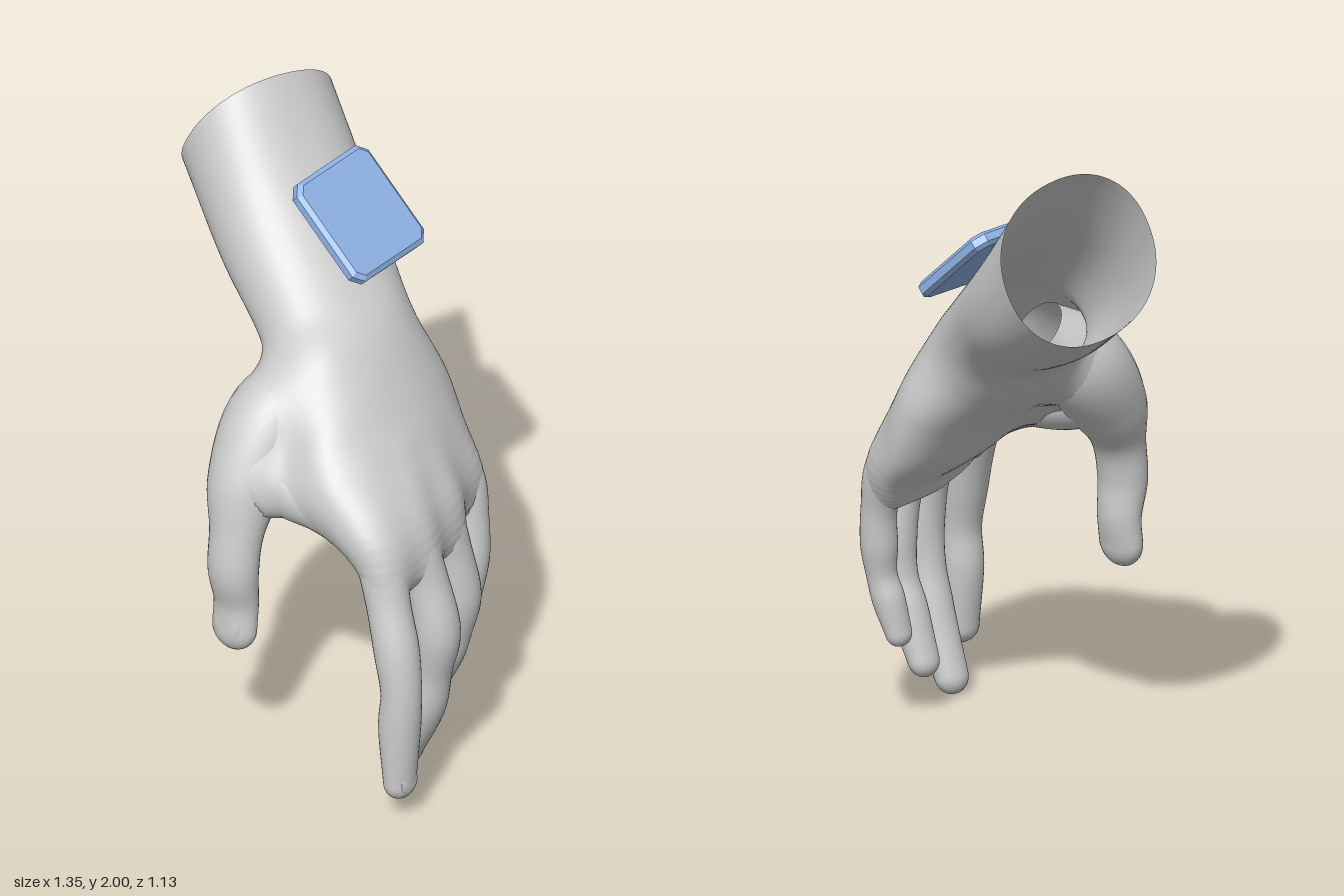
import * as THREE from 'three';

const V = (x, y, z) => new THREE.Vector3(x, y, z);
const skin = new THREE.MeshStandardMaterial({ color: 0xcccccc, side: THREE.DoubleSide });
const blue = new THREE.MeshStandardMaterial({ color: 0x8fb3e6 });

// Skin a list of rings, each given as a list of points
function loft(name, rings) {
  const sides = rings[0].length, idx = [];
  for (let i = 1; i < rings.length; i++) {
    for (let j = 0; j < sides; j++) {
      const k = (j + 1) % sides, r0 = (i - 1) * sides, r1 = i * sides;
      idx.push(r0 + j, r1 + j, r0 + k, r0 + k, r1 + j, r1 + k);
    }
  }
  const geo = new THREE.BufferGeometry().setFromPoints(rings.flat());
  geo.setIndex(idx);
  geo.computeVertexNormals();
  const mesh = new THREE.Mesh(geo, skin);
  mesh.name = name;
  return mesh;
}

// Closed ring around c with half-axes h and n; power below 1 makes it fuller
function ring(c, h, n, sides, power = 1) {
  const round = (v) => Math.sign(v) * Math.abs(v) ** power;
  return Array.from({ length: sides }, (_, j) => {
    const a = (j / sides) * Math.PI * 2;
    return c.clone().addScaledVector(h, round(Math.cos(a))).addScaledVector(n, round(Math.sin(a)));
  });
}

// Unit axes of a round section across direction t
function axes(t) {
  const h = V(0, 0, 1).addScaledVector(t, -t.z).normalize();
  return { h, n: h.clone().cross(t).normalize() };
}

// Centres, radii, flatness and directions along points [x, y, z, radius, flatness]
function sampleLimb(pts, steps = 40) {
  const path = new THREE.CatmullRomCurve3(pts.map((p) => V(p[0], p[1], p[2])));
  const size = new THREE.CatmullRomCurve3(pts.map((p, i) => V(p[3], i, p[4] ?? 1)), false, 'catmullrom');
  return Array.from({ length: steps + 1 }, (_, i) => {
    const t = i / steps, s = size.getPoint(t);
    return { c: path.getPoint(t), r: s.x, flat: s.z, dir: path.getTangent(t) };
  });
}

// Tapered limb with a round tip; it flattens towards its nail side
function limb(name, samples, nailSide, hasNail) {
  const section = (c, dir, r, flat) => {
    const { h, n } = axes(dir);
    return ring(c, h.multiplyScalar(nailSide === 'h' ? r * flat : r), n.multiplyScalar(nailSide === 'n' ? r * flat : r), 32);
  };
  const rings = samples.map(({ c, dir, r, flat }) => section(c, dir, r, flat));
  const { c, r, flat, dir } = samples[samples.length - 1];
  for (let k = 1; k <= 8; k++) {
    const a = (k / 8) * Math.PI / 2;
    rings.push(section(c.clone().addScaledVector(dir, r * Math.sin(a)), dir, r * Math.max(Math.cos(a), 0.001), flat));
  }
  const group = new THREE.Group();
  group.name = name;
  group.add(loft(name + 'Skin', rings));
  if (hasNail) {
    const up = axes(dir)[nailSide];
    const nail = new THREE.Mesh(new THREE.SphereGeometry(1, 20, 12), skin);
    nail.name = name + 'Nail';
    nail.scale.set(r * 0.65, r * 0.75, r * 0.18);
    nail.quaternion.setFromRotationMatrix(new THREE.Matrix4().makeBasis(dir.clone().cross(up), dir, up));
    nail.position.copy(c).addScaledVector(up, r * (flat - 0.17)).addScaledVector(dir, -r * 0.2);
    group.add(nail);
  }
  return group;
}

// Smooth minimum of two distances
function blend(a, b, k) {
  const m = Math.max(k - Math.abs(a - b), 0) / k;
  return Math.min(a, b) - m * m * k / 4;
}

export function createModel() {
  const model = new THREE.Group();
  model.name = 'hand';

  // Fingers run from inside the palm over the knuckles; the thumb has a fleshy base
  const limbs = {
    indexFinger: [[0.33, 1.08, 0.25, 0.055], [0.46, 0.92, 0.32, 0.08], [0.527, 0.74, 0.353, 0.07], [0.575, 0.60, 0.372, 0.072],
      [0.602, 0.46, 0.382, 0.065], [0.598, 0.33, 0.385, 0.067], [0.603, 0.135, 0.39, 0.057, 0.85]],
    middleFinger: [[0.33, 1.08, 0.12, 0.055], [0.46, 0.93, 0.19, 0.08], [0.53, 0.74, 0.17, 0.069], [0.565, 0.56, 0.162, 0.075],
      [0.545, 0.41, 0.16, 0.063], [0.515, 0.27, 0.16, 0.067], [0.435, 0.062, 0.16, 0.058, 0.85]],
    ringFinger: [[0.30, 1.06, 0, 0.055], [0.425, 0.90, 0.01, 0.077], [0.475, 0.72, -0.02, 0.066], [0.488, 0.56, -0.04, 0.07],
      [0.468, 0.43, -0.04, 0.059], [0.435, 0.33, -0.035, 0.062], [0.375, 0.175, -0.03, 0.054, 0.85]],
    littleFinger: [[0.24, 1.05, -0.15, 0.055], [0.35, 0.87, -0.21, 0.073], [0.395, 0.72, -0.21, 0.058], [0.405, 0.59, -0.20, 0.059],
      [0.403, 0.49, -0.19, 0.049], [0.383, 0.41, -0.18, 0.052], [0.355, 0.305, -0.165, 0.046, 0.85]],
    thumb: [[0.04, 1.30, 0.13, 0.10], [-0.008, 1.17, 0.27, 0.145], [-0.003, 0.99, 0.41, 0.122], [0.012, 0.86, 0.47, 0.09, 0.9],
      [0.017, 0.73, 0.493, 0.085, 0.85], [0.017, 0.61, 0.478, 0.077, 0.78], [0.018, 0.52, 0.487, 0.08, 0.65]],
    thumbWeb: [[0, 1.04, 0.35, 0.10], [0.12, 1.015, 0.335, 0.11], [0.25, 0.985, 0.32, 0.097], [0.42, 0.90, 0.32, 0.06]],
  };
  const samples = {};
  for (const [name, pts] of Object.entries(limbs)) {
    samples[name] = sampleLimb(pts);
    model.add(limb(name, samples[name], name === 'thumb' ? 'h' : 'n', name !== 'thumbWeb'));
  }

  // Distance from p to the blended limbs, drawn in slightly so the palm skin dips under them
  const limbDistance = (p) => Object.values(samples).reduce((d, list) => {
    let near = Infinity;
    for (const s of list) near = Math.min(near, p.distanceTo(s.c) - s.r * s.flat);
    return blend(d, near, 0.07);
  }, 9) + 0.005;

  // Forearm, wrist and palm: centre, half-width (thumb side), half-thickness (back of hand)
  const sections = [
    [[-0.54, 1.77, -0.30], [-0.05, 0.06, 0.267], [0.125, 0.225]],
    [[-0.305, 1.56, -0.195], [-0.05, 0.02, 0.268], [0.105, 0.18]],
    [[-0.08, 1.395, -0.088], [-0.02, 0, 0.262], [0.12, 0.125]],
    [[0.05, 1.27, -0.015], [0, 0, 0.295], [0.13, 0.13]],
    [[0.20, 1.11, 0.03], [0.04, 0, 0.365], [0.13, 0.095]],
    [[0.322, 0.957, 0.045], [0.07, 0.02, 0.365], [0.123, 0.078]],
    [[0.407, 0.857, 0.05], [0.08, 0.02, 0.325], [0.093, 0.058]],
    [[0.44, 0.763, 0.07], [0.08, 0.01, 0.27], [0.066, 0.035]],
    [[0.45, 0.72, 0.07], [0.06, 0, 0.20], [0.012, 0.004]],
  ];
  const track = (k) => new THREE.CatmullRomCurve3(sections.map((s) => V(s[k][0], s[k][1], s[k][2] ?? 0)), false, 'catmullrom');
  const [centre, width, depth] = [0, 1, 2].map(track);
  const rings = [];
  for (let i = 0; i <= 120; i++) {
    const t = i / 120, c = centre.getPoint(t);
    const points = ring(c, width.getPoint(t), depth.getPoint(t), 96, 0.92);
    // Swell the skin outwards where it meets thumb, web and knuckles
    for (const p of points) {
      const dir = p.clone().sub(c).normalize(), base = p.clone();
      let s = 0;
      for (let k = 0; k < 14; k++) {
        s = Math.min(Math.max(s - 0.8 * blend(s, limbDistance(p), 0.09), 0), 0.2);
        p.copy(base).addScaledVector(dir, s);
      }
    }
    rings.push(points);
  }
  model.add(loft('forearmAndPalm', rings));

  // Wrist plate: square with cut corners and a bevelled rim
  const a = 0.17, b = 0.16, cut = 0.025;
  const outline = new THREE.Shape([[a, cut - b], [a, b - cut], [a - cut, b], [cut - a, b], [-a, b - cut], [-a, cut - b], [cut - a, -b], [a - cut, -b]]
    .map(([x, y]) => new THREE.Vector2(x, y)));
  const plateGeo = new THREE.ExtrudeGeometry(outline, { depth: 0.025, bevelSize: 0.015, bevelThickness: 0.012, bevelSegments: 1 });
  plateGeo.translate(0, 0, -0.037);
  const plate = new THREE.Mesh(plateGeo, blue);
  plate.name = 'wristPlate';
  const along = V(0.74, -0.67, 0).normalize(), out = V(0.67, 0.74, 0).normalize();
  plate.quaternion.setFromRotationMatrix(new THREE.Matrix4().makeBasis(along, out.clone().cross(along), out));
  plate.position.set(-0.045, 1.674, -0.215);
  model.add(plate);

  return model;
}
